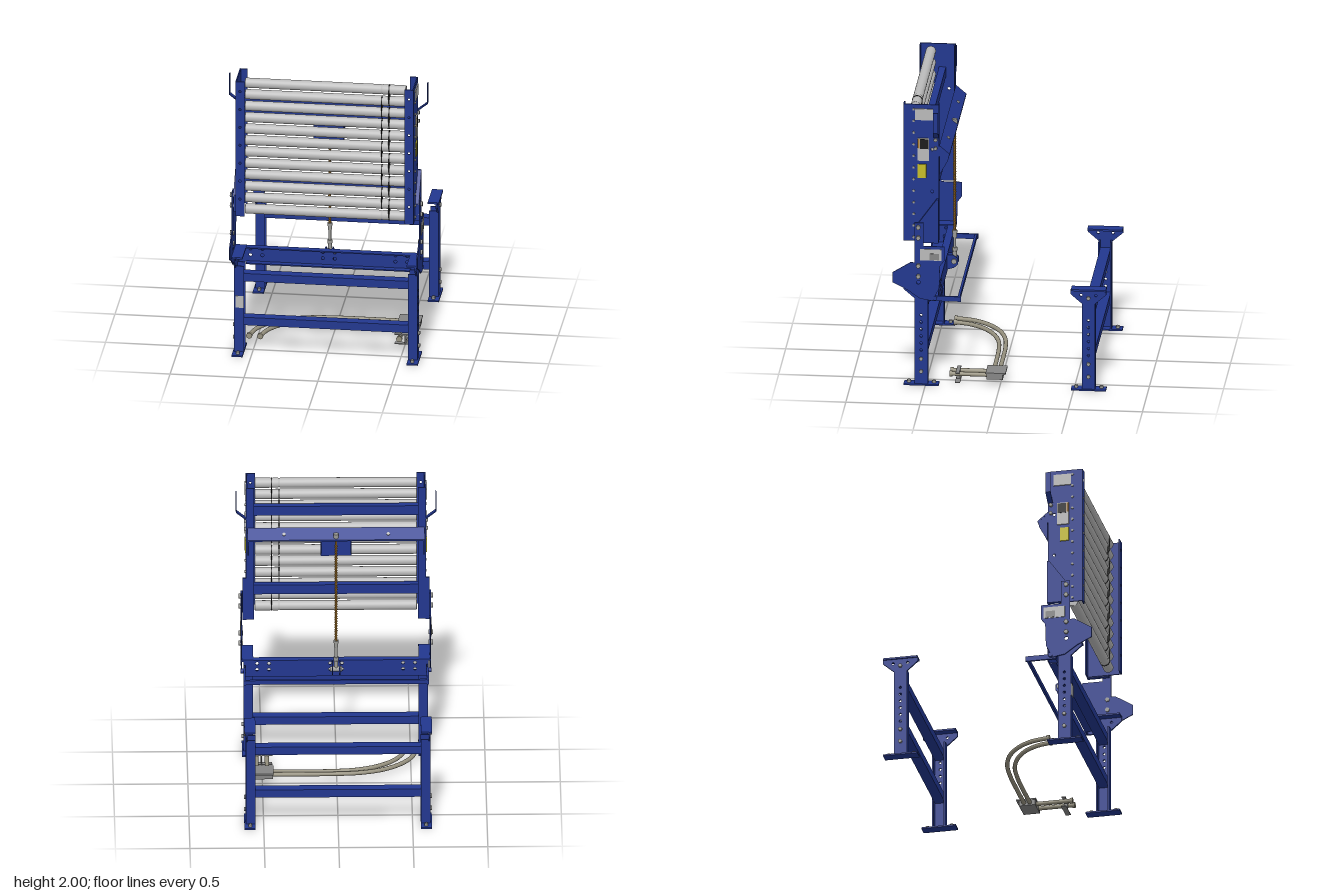
import * as THREE from 'three';

const mat = (name, color, extra = {}) => Object.assign(new THREE.MeshStandardMaterial({ color, ...extra }), { name });
const blue = mat('frame blue', 0x22378f);
const rollerGrey = mat('roller grey', 0xbcbcbc);
const steel = mat('bolt steel', 0x9c9c98);
const pipeMat = mat('conduit beige', 0x96917f);
const boxGrey = mat('box grey', 0x858585);
const brass = mat('spring brass', 0xa87628);
const black = mat('belt black', 0x1c1c1c);
const labelGrey = mat('label grey', 0xb9b9b9);
const yellow = mat('label yellow', 0xc6bd28);

export function createModel() {
  const root = new THREE.Group();
  root.name = 'liftGateConveyor';

  const add = (name, geo, material, x = 0, y = 0, z = 0) => {
    const m = new THREE.Mesh(geo, material);
    m.name = name;
    m.position.set(x, y, z);
    root.add(m);
    return m;
  };
  // box given by its min and max on each axis
  const box = (name, x0, x1, y0, y1, z0, z1, material = blue) =>
    add(name, new THREE.BoxGeometry(Math.abs(x1 - x0), y1 - y0, z1 - z0), material, (x0 + x1) / 2, (y0 + y1) / 2, (z0 + z1) / 2);
  const shapeOf = (pts, holes = []) => {
    const s = new THREE.Shape(pts.map(p => new THREE.Vector2(...p)));
    for (const [a, b, r] of holes) s.holes.push(new THREE.Path().absarc(a, b, r, 0, Math.PI * 2, true));
    return s;
  };
  const extrude = (shape, depth) =>
    new THREE.ExtrudeGeometry(shape, { depth, bevelEnabled: false, curveSegments: 8 }).translate(0, 0, -depth / 2);
  // plate drawn in (z, y), thickness along x
  const sidePlate = (name, pts, thick, x, z = 0, holes = []) =>
    add(name, extrude(shapeOf(pts, holes), thick).rotateY(-Math.PI / 2), blue, x, 0, z);
  const rod = (name, r, len, axis, x, y, z, material = steel, sides = 16) => {
    const g = new THREE.CylinderGeometry(r, r, len, sides);
    if (axis === 'x') g.rotateZ(Math.PI / 2);
    if (axis === 'z') g.rotateX(Math.PI / 2);
    return add(name, g, material, x, y, z);
  };

  // Leg stands: perforated web with flared head, flanges, foot and head plates
  const legOutline = [[-0.045, 0], [0.045, 0], [0.045, 0.62], [0.12, 0.685], [0.12, 0.72], [-0.12, 0.72], [-0.12, 0.685], [-0.045, 0.62]];
  const legHoles = [0.25, 0.3, 0.35, 0.4, 0.45, 0.5].map(y => [0, y, 0.009]);
  legHoles.push([-0.05, 0.68, 0.009], [0.05, 0.68, 0.009]);
  for (const zc of [0.528, -0.6]) {
    for (const s of [-1, 1]) {
      sidePlate('legWeb', legOutline, 0.012, s * 0.614, zc, legHoles);
      for (const f of [-1, 1]) {
        box('legFlange', s * 0.555, s * 0.608, 0, 0.63, zc + f * 0.04 - 0.005, zc + f * 0.04 + 0.005);
        rod('anchorBolt', 0.013, 0.02, 'y', s * 0.59, 0.018, zc + f * 0.085, steel, 6);
      }
      box('headPlate', s * 0.555, s * 0.63, 0.71, 0.722, zc - 0.118, zc + 0.118);
      box('footPlate', s * 0.555, s * 0.63, 0, 0.01, zc - 0.118, zc + 0.118);
      for (const y of [0.1, 0.19]) rod('legBolt', 0.014, 0.014, 'x', s * 0.625, y, zc, steel, 6);
      if (zc < 0) rod('headBolt', 0.014, 0.014, 'x', s * 0.625, 0.66, zc, steel, 6);
    }
    for (const [y0, y1] of [[0.2, 0.257], [0.518, 0.575]]) box('standCrossbar', -0.608, 0.608, y0, y1, zc - 0.035, zc + 0.035);
  }
  box('legLabel', -0.611, -0.557, 0.33, 0.415, 0.573, 0.577, labelGrey);

  // Main beam of the gate: perforated web with flanges
  const beamHoles = [];
  for (const s of [-1, 1]) for (const y of [0.652, 0.697]) for (const x of [0.04, 0.45, 0.53]) beamHoles.push([s * x, y, 0.011]);
  add('beamWeb', extrude(shapeOf([[-0.608, 0.6], [0.608, 0.6], [0.608, 0.72], [-0.608, 0.72]], beamHoles), 0.008), blue, 0, 0, 0.412);
  for (const y of [0.6, 0.712]) box('beamFlange', -0.555, 0.555, y, y + 0.008, 0.412, 0.458);

  // Rear trip bar on two arms
  box('tripBar', -0.62, 0.62, 0.607, 0.637, 0.267, 0.283);
  for (const s of [-1, 1]) box('tripBarArm', s * 0.608, s * 0.622, 0.605, 0.64, 0.26, 0.47);

  // Pivot plates, rail brackets and hooks on both sides
  const pivot = [[0.72, 0.735], [0.72, 0.805], [0.6, 0.88], [0.57, 0.88], [0.57, 1.165], [0.51, 1.165], [0.51, 1.0], [0.37, 1.0],
    [0.37, 0.9], [0.4, 0.86], [0.405, 0.7], [0.45, 0.61], [0.535, 0.625], [0.62, 0.685]];
  const bracket = [[0.41, 1.02], [0.56, 1.02], [0.56, 1.14], [0.425, 1.33], [0.41, 1.33]];
  for (const s of [-1, 1]) {
    sidePlate('pivotPlate', pivot, 0.008, s * 0.634, 0, [[0.545, 0.74, 0.013]]);
    sidePlate('railBracket', bracket, 0.026, s * 0.615);
    for (const y of [0.785, 0.86, 1.06, 1.135]) {
      rod('pivotBolt', 0.016, 0.03, 'x', s * 0.637, y, 0.545, steel, 6);
    }
    rod('latchPin', 0.016, 0.02, 'x', s * 0.63, 0.63, 0.435, blue);
    box('pivotLabel', s * 0.638, s * 0.642, 0.9, 0.98, 0.39, 0.535, labelGrey);
    box('pivotLabelMark', s * 0.642, s * 0.644, 0.905, 0.95, 0.405, 0.47, boxGrey);

    // bent strip hook
    const hook = [[0.6, 1.77], [0.605, 1.765], [0.673, 1.82], [0.673, 1.965], [0.667, 1.965], [0.667, 1.824]].map(([x, y]) => [s * x, y]);
    add('hook', extrude(shapeOf(hook), 0.035), blue, 0, 0, 0.427);
    for (const y of [1.69, 1.75]) rod('hookBolt', 0.013, 0.02, 'x', s * 0.607, y, 0.432, steel, 6);

    // channel side rail
    sidePlate('railWeb', [[0.41, 1.025], [0.65, 1.025], [0.65, 2], [0.41, 2]], 0.008, s * 0.599, 0, [[0.455, 1.38, 0.01], [0.455, 1.68, 0.01]]);
    const flangeHoles = [1.15, 1.28, 1.41, 1.54, 1.67, 1.8, 1.93].map(y => [s * 0.572, y, 0.008]);
    const strip = [[0.542, 1.025], [0.595, 1.025], [0.595, 2], [0.542, 2]].map(([x, y]) => [s * x, y]);
    add('railFrontFlange', extrude(shapeOf(strip, flangeHoles), 0.008), blue, 0, 0, 0.646);
    box('railRearFlange', s * 0.55, s * 0.595, 1.025, 2, 0.41, 0.418);
    for (let i = 0; i < 12; i++) rod('axleBolt', 0.009, 0.012, 'x', s * 0.605, 1.052 + i * 0.083, 0.58, steel, 6);

    // rail labels
    const label = (name, y0, y1, z0, z1, m, lift = 0) => box(name, s * (0.603 + lift), s * (0.611 + lift), y0, y1, z0, z1, m);
    label('topLabel', 1.89, 1.97, 0.45, 0.57, labelGrey);
    label('noticeLabel', 1.6, 1.76, 0.475, 0.555, labelGrey);
    label('noticeBand', 1.69, 1.755, 0.54, 0.553, brass, 0.002);
    label('noticePicture', 1.685, 1.755, 0.478, 0.538, black, 0.002);
    label('warningLabel', 1.478, 1.575, 0.495, 0.555, yellow);
  }

  // Cross members behind the rollers
  for (const y of [1.8, 1.215]) box('gateCrossMember', -0.595, 0.595, y - 0.034, y + 0.034, 0.475, 0.522);

  // Lift bracket: sloped plate, backing strip and gussets
  const slope = [[0.408, 1.708], [0.338, 1.648], [0.338, 1.638], [0.408, 1.695]];
  sidePlate('liftBracketTop', slope, 1.19, 0);
  box('liftBracketBack', -0.595, 0.595, 1.63, 1.7, 0.402, 0.41);
  box('liftBracketCentre', -0.1, 0.1, 1.5, 1.64, 0.402, 0.41);
  for (const x of [-0.1, 0.1, -0.59, 0.59])
    sidePlate('liftGusset', [[0.405, 1.7], [0.34, 1.645], [0.35, 1.6], [0.405, 1.5]], 0.008, x);
  for (const s of [-1, 1]) {
    const b = rod('bracketBolt', 0.011, 0.012, 'y', s * 0.35, 1.676, 0.37, labelGrey);
    b.rotation.x = -0.7;
  }
  rod('liftTopNut', 0.02, 0.03, 'y', 0, 1.668, 0.36, steel, 6);

  // Rollers with two belt grooves
  const rr = 0.034, gr = 0.0305;
  const profile = [[0, -0.545], [rr - 0.004, -0.545], [rr, -0.541]];
  for (const g of [0.38, 0.43]) profile.push([rr, g - 0.007], [gr, g - 0.003], [gr, g + 0.003], [rr, g + 0.007]);
  profile.push([rr, 0.541], [rr - 0.004, 0.545], [0, 0.545]);
  const rollerGeo = new THREE.LatheGeometry(profile.map(p => new THREE.Vector2(...p)), 24).rotateZ(-Math.PI / 2);
  const rollerY = i => 1.052 + i * 0.083, rollerZ = 0.572;
  for (let i = 0; i < 12; i++) add('roller', rollerGeo, rollerGrey, 0, rollerY(i), rollerZ);

  // Drive belts linking neighbouring rollers
  const loop = (path, r) => path.absarc(0, 0.083, r, 0, Math.PI, false).absarc(0, 0, r, Math.PI, Math.PI * 2, false).closePath();
  const beltShape = loop(new THREE.Shape(), 0.0355);
  beltShape.holes.push(loop(new THREE.Path(), 0.0305));
  const beltGeo = extrude(beltShape, 0.007).rotateY(-Math.PI / 2);
  for (let i = 0; i < 11; i++) add('driveBelt', beltGeo, black, i % 2 ? 0.38 : 0.43, rollerY(i), rollerZ);

  // Threaded lift rod with coil, end fitting and clevis
  rod('liftRod', 0.007, 0.8, 'y', 0, 1.26, 0.36, brass, 10);
  const coil = new THREE.CatmullRomCurve3(Array.from({ length: 321 }, (_, i) =>
    new THREE.Vector3(0.008 * Math.cos(i * Math.PI / 4), 0.88 + 0.72 * i / 320, 0.36 + 0.008 * Math.sin(i * Math.PI / 4))));
  add('liftCoil', new THREE.TubeGeometry(coil, 480, 0.0035, 5), brass);
  rod('fittingShaft', 0.01, 0.2, 'y', 0, 0.77, 0.36);
  for (const [y, r, h] of [[0.88, 0.017, 0.02], [0.855, 0.014, 0.03], [0.755, 0.017, 0.025], [0.72, 0.014, 0.04]])
    rod('fittingNut', r, h, 'y', 0, y, 0.36, steel, 12);
  for (const s of [-1, 1])
    sidePlate('clevisPlate', [[0.41, 0.615], [0.41, 0.72], [0.37, 0.72], [0.335, 0.695], [0.335, 0.655], [0.36, 0.63]], 0.008, s * 0.024);
  rod('clevisPin', 0.018, 0.08, 'x', 0, 0.676, 0.362);

  // Conduit box with its hoses
  box('junctionBox', 0.43, 0.575, 0.04, 0.087, -0.018, 0.093, boxGrey);
  box('junctionLid', 0.425, 0.58, 0.078, 0.087, 0.023 - 0.06, 0.098, boxGrey).visible = true;
  const hose = (name, pts) => add(name, new THREE.TubeGeometry(
    new THREE.CatmullRomCurve3(pts.map(([x, z]) => new THREE.Vector3(x, 0.06, z))), 60, 0.0145, 12), pipeMat);
  hose('outerHose', [[0.43, 0.015], [0.2, 0.015], [0, 0.018], [-0.17, 0.035], [-0.32, 0.085], [-0.44, 0.175], [-0.51, 0.28], [-0.54, 0.4]]);
  hose('innerHose', [[0.43, 0.055], [0.2, 0.055], [0.02, 0.06], [-0.13, 0.078], [-0.26, 0.125], [-0.37, 0.205], [-0.435, 0.3], [-0.465, 0.4]]);
  for (const x of [-0.54, -0.465]) rod('hoseNut', 0.021, 0.02, 'z', x, 0.06, 0.4, pipeMat, 8);
  for (const x of [0.467, 0.538]) {
    rod('shortPipe', 0.0145, 0.25, 'z', x, 0.06, 0.215, pipeMat);
    rod('pipeNut', 0.021, 0.018, 'z', x, 0.06, 0.335, pipeMat, 8);
  }
  box('pipeClamp', 0.43, 0.58, 0.072, 0.08, 0.275, 0.3, boxGrey);
  box('pipeClampFoot', 0.43, 0.58, 0.008, 0.013, 0.27, 0.305, boxGrey);
  box('pipeClampPost', 0.499, 0.507, 0.01, 0.075, 0.275, 0.3, boxGrey);
  return root;
}
